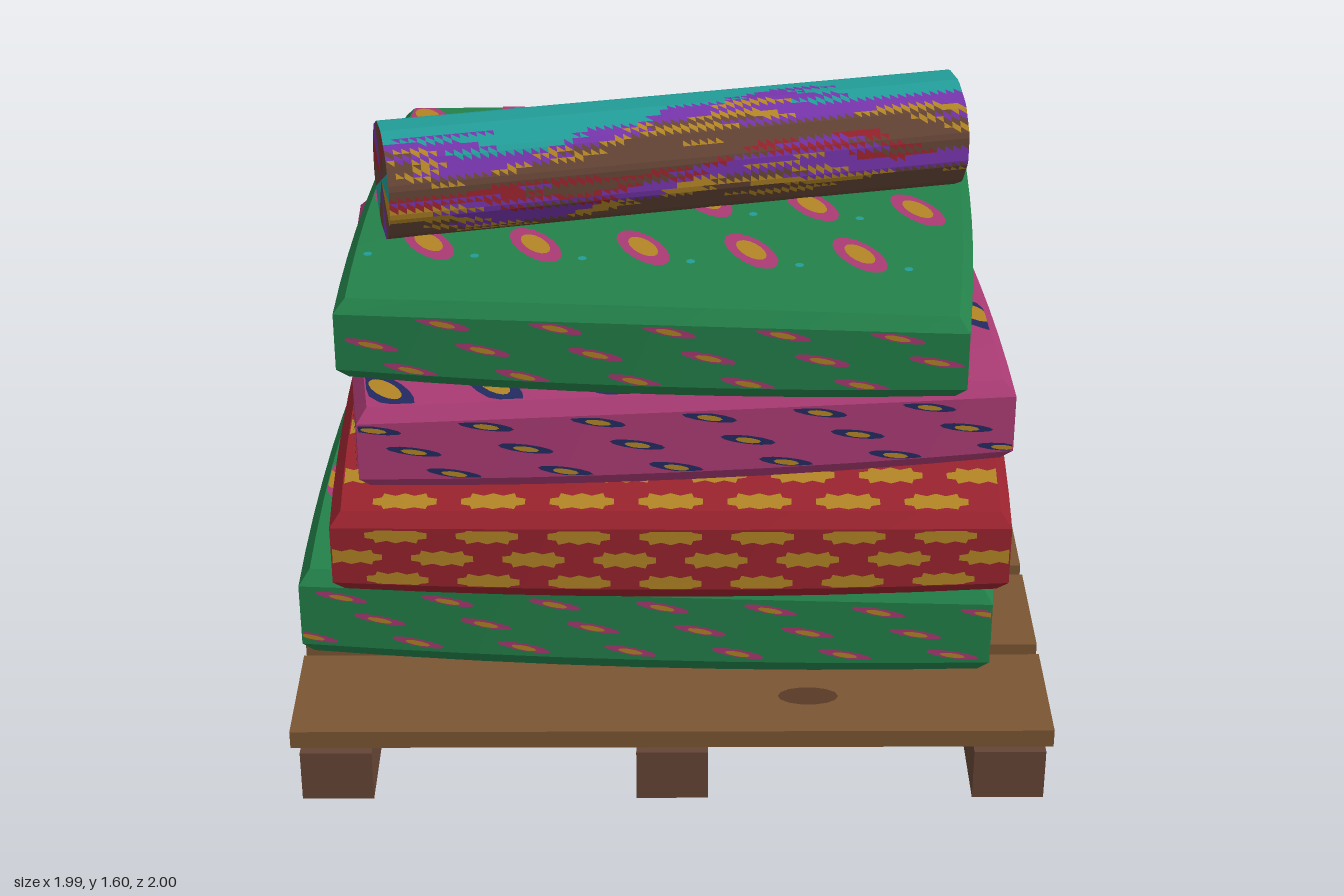
import * as THREE from 'three';
import { mergeGeometries, toCreasedNormals } from 'three/addons/utils/BufferGeometryUtils.js';

const COLORS = {
  plankWood: 0x7b5633, darkWood: 0x654536, knot: 0x5a3a26, green: 0x23814a, magenta: 0xaa3b74,
  red: 0x9a232e, gold: 0xb38525, navy: 0x232a60, teal: 0x229c98, purple: 0x7534aa,
};

// Outline helpers: closed counter-clockwise lists of [a, b] around a centre
function ellipse(ra, rb, tilt = 0, n = 16) {
  const c = Math.cos(tilt), s = Math.sin(tilt);
  return Array.from({ length: n }, (_, i) => {
    const t = (i / n) * Math.PI * 2, a = ra * Math.cos(t), b = rb * Math.sin(t);
    return [a * c - b * s, a * s + b * c];
  });
}
// Stepped bar, widest in the middle
function bar(l, h) {
  const q = [[l, h * 0.35], [l * 0.72, h * 0.5], [l * 0.66, h], [l * 0.3, h * 0.7], [0, h]];
  const top = [...q, ...q.slice(0, 4).reverse().map(([a, b]) => [-a, b])];
  return [...top, ...top.map(([a, b]) => [-a, -b])];
}

// Cushion faces: s and t span the face, n points outward
const V = (x, y, z) => new THREE.Vector3(x, y, z);
const SIDES = [
  [V(1, 0, 0), V(0, 1, 0), V(0, 0, 1)], [V(0, 0, -1), V(0, 1, 0), V(1, 0, 0)],
  [V(-1, 0, 0), V(0, 1, 0), V(0, 0, -1)], [V(0, 0, 1), V(0, 1, 0), V(-1, 0, 0)],
];
const CAPS = [[V(1, 0, 0), V(0, 0, -1), V(0, 1, 0)], [V(1, 0, 0), V(0, 0, 1), V(0, -1, 0)]];
const BEVEL = 0.7;

function cushion(mats, o) {
  const group = new THREE.Group();
  group.name = o.name;
  const size = V(o.w, o.h, o.d);

  // Puffed pillow rule: bevelled rim, bowed walls, domed top and bottom
  const warp = (p) => {
    const u = (2 * p.x) / o.w, v = (2 * p.z) / o.d, k = (2 * p.y) / o.h;
    const inset = (Math.max(0, Math.abs(k) - BEVEL) / (1 - BEVEL)) * 0.028;
    p.x += u * (0.02 * (1 - v * v) - inset);
    p.z += v * (0.02 * (1 - u * u) - inset);
    p.y += k * 0.025 * (1 - 0.5 * (u * u + v * v));
    return p;
  };

  const geo = new THREE.BoxGeometry(o.w, o.h, o.d, 8, 3, 8);
  const pos = geo.attributes.position, p = V(0, 0, 0);
  for (let i = 0; i < pos.count; i++) {
    p.fromBufferAttribute(pos, i);
    if (Math.abs(p.y) < o.h * 0.4) p.y = Math.sign(p.y) * BEVEL * o.h / 2;
    warp(p);
    pos.setXYZ(i, p.x, p.y, p.z);
  }
  const body = new THREE.Mesh(toCreasedNormals(geo, 0.4), mats[o.base]);
  body.name = o.name + 'Body';
  group.add(body);

  // Printed pattern: thin patches that follow the puffed surface
  const patches = {};
  const print = (color, [s, t, n], a, b, outline, lift) => {
    const half = (axis) => Math.abs(axis.dot(size)) / 2;
    const la = half(s) - 0.004, lb = half(t) * (t.y ? BEVEL : 1) - 0.004;
    if (Math.abs(a) > la || Math.abs(b) > lb) return;
    const at = ([da, db]) => warp(V(0, 0, 0).addScaledVector(n, half(n))
      .addScaledVector(s, THREE.MathUtils.clamp(a + da, -la, la))
      .addScaledVector(t, THREE.MathUtils.clamp(b + db, -lb, lb))).addScaledVector(n, lift);
    const c = at([0, 0]), ring = outline.map(at), pts = [];
    ring.forEach((q, i) => pts.push(c, q, ring[(i + 1) % ring.length]));
    const g = new THREE.BufferGeometry().setFromPoints(pts);
    g.computeVertexNormals();
    (patches[color] ??= []).push(g);
  };

  const bars = o.motif === 'bars', step = bars ? 0.235 : 0.285;
  const each = (row, shift, fn) => {
    for (let i = -4; i <= 4; i++) fn(i * step + shift, row);
  };
  // Flat faces
  for (const face of CAPS) {
    o.rows.forEach(([z, shift]) => each(-z, shift, (a, b) => {
      if (bars) return print('gold', face, a, b, bar(0.085, 0.04), 0.003);
      print(o.petal, face, a, b, ellipse(0.112, 0.052, -1.0), 0.003);
      print('gold', face, a, b, ellipse(0.062, 0.03, -1.0), 0.006);
      if (o.petal === 'magenta') print('teal', face, a + 0.13, b - 0.07, ellipse(0.012, 0.012, 0, 8), 0.003);
    }));
  }
  // Walls
  for (const face of SIDES) {
    [0.064, 0, -0.064].forEach((y, r) => each(y, bars ? (r % 2) * step / 2 : 0.05 + r * 0.1, (a, b) => {
      if (bars) return print('gold', face, a, b, bar(0.08, 0.022), 0.003);
      print(o.petal, face, a, b, ellipse(0.072, 0.011, -0.16, 12), 0.003);
      print('gold', face, a, b, ellipse(0.034, 0.007, -0.16, 10), 0.006);
    }));
  }
  for (const [color, list] of Object.entries(patches)) {
    const m = new THREE.Mesh(mergeGeometries(list), mats[color]);
    m.name = `${o.name}Pattern_${color}`;
    group.add(m);
  }
  group.position.set(o.x, o.y, o.z);
  group.rotation.y = o.turn;
  return group;
}

// Rolled cloth: twelve flat sides, streaked with wavy colour bands
function clothRoll(mats) {
  const R = 0.158, L = 1.555, N = 60, STEPS = 70, F = Math.PI / 6;
  let geo = new THREE.CylinderGeometry(R, R, L, N, STEPS);
  geo.rotateZ(Math.PI / 2);
  const pos = geo.attributes.position;
  for (let i = 0; i < pos.count; i++) {
    const y = pos.getY(i), z = pos.getZ(i);
    const a = Math.atan2(z, y) + Math.PI * 2 + F / 2;
    const k = Math.cos(F / 2) / Math.cos((a % F) - F / 2);
    pos.setXYZ(i, pos.getX(i), y * k, z * k);
  }
  geo = geo.toNonIndexed();
  geo.clearGroups();
  geo.computeVertexNormals();

  // Upper limit in degrees (0 is the top, positive toward the front) of each band
  const bands = [
    [-150, 'darkWood'], [-128, 'purple'], [-112, 'teal'], [-85, 'darkWood'], [-62, 'purple'], [-50, 'gold'],
    [28, 'teal'], [48, 'purple'], [56, 'gold'], [84, 'darkWood'], [92, 'red'], [112, 'purple'],
    [124, 'gold'], [999, 'darkWood'],
  ];
  const capColors = ['darkWood', 'teal', 'darkWood', 'red', 'purple', 'darkWood', 'red', 'darkWood', 'teal', 'gold', 'darkWood', 'purple'];
  const P = geo.attributes.position.array;
  const colorOf = (f) => {
    const avg = (k) => (P[f + k] + P[f + k + 3] + P[f + k + 6]) / 3;
    const x = avg(0), d = THREE.MathUtils.radToDeg(Math.atan2(avg(2), avg(1)));
    if (Math.abs(x) > L / 2 - 1e-4) return capColors[Math.floor((d + 180) / 30) % 12];
    const row = Math.round(d / 6);
    const jag = 9 * Math.sin(row * 2.4 + x * 3) + 16 * Math.sin(x * 4.2 + 0.6) - 10 * Math.cos(x * 9 + row * 0.5);
    const fan = 1 + 0.25 * x * x;
    return bands.find(([limit]) => d * fan + jag < limit)[1];
  };
  const byColor = {};
  for (let f = 0; f < P.length; f += 9) (byColor[colorOf(f)] ??= []).push(f / 3, f / 3 + 1, f / 3 + 2);
  const used = Object.keys(byColor);
  geo.setIndex(Object.values(byColor).flat());
  let start = 0;
  used.forEach((c, i) => {
    geo.addGroup(start, byColor[c].length, i);
    start += byColor[c].length;
  });
  const roll = new THREE.Mesh(geo, used.map((c) => mats[c]));
  roll.name = 'clothRoll';
  roll.position.set(0.003, 1.452, 0.112);
  roll.rotation.y = 0.221;
  return roll;
}

function pallet(mats) {
  const group = new THREE.Group();
  group.name = 'pallet';
  const add = (name, geo, mat, x, y, z) => {
    const m = new THREE.Mesh(geo, mats[mat]);
    m.name = name;
    m.position.set(x, y, z);
    group.add(m);
    return m;
  };
  for (const x of [-0.875, 0, 0.88]) add('runner', new THREE.BoxGeometry(0.187, 0.145, 2), 'darkWood', x, 0.0725, 0);
  [-0.8, -0.4, 0, 0.4, 0.8].forEach((z, i) => {
    add('plank', new THREE.BoxGeometry(1.99, 0.05, 0.352), 'plankWood', 0, 0.17, z);
    // Wood knots on both faces
    const x = i % 2 ? -0.45 : 0.36;
    for (const s of [1, -1]) {
      const knot = add('knot', new THREE.CircleGeometry(1, 14), 'knot', x, 0.17 + s * 0.027, z + 0.02);
      knot.scale.set(0.08, 0.04, 1);
      knot.rotation.x = -s * Math.PI / 2;
    }
  });
  return group;
}

export function createModel() {
  const mats = {};
  for (const [name, color] of Object.entries(COLORS)) {
    mats[name] = new THREE.MeshStandardMaterial({ color });
    mats[name].name = name;
  }
  const model = new THREE.Group();
  model.name = 'cushionStack';
  model.add(pallet(mats));

  const barRows = [-0.65, -0.52, -0.39, -0.26, -0.13, 0, 0.13, 0.26, 0.39, 0.52, 0.65].map((z, i) => [z, (i % 2) * 0.117]);
  [
    { name: 'bottomCushion', base: 'green', petal: 'magenta', w: 1.84, d: 1.42, h: 0.26, x: -0.037, y: 0.345, z: -0.008, turn: -0.052,
      rows: [[-0.62, 0.035], [-0.33, -0.07], [-0.04, 0.08], [0.25, -0.06], [0.54, 0.04]] },
    { name: 'redCushion', base: 'red', motif: 'bars', w: 1.75, d: 1.38, h: 0.235, x: 0, y: 0.635, z: 0.13, turn: -0.005, rows: barRows },
    { name: 'magentaCushion', base: 'magenta', petal: 'navy', w: 1.696, d: 1.315, h: 0.23, x: -0.01, y: 0.91, z: 0.035, turn: 0.083,
      rows: [[-0.58, 0.15], [-0.29, 0.05], [0, 0.12], [0.29, -0.04], [0.58, 0.06]] },
    { name: 'topCushion', base: 'green', petal: 'magenta', w: 1.6, d: 1.265, h: 0.225, x: -0.012, y: 1.18, z: 0.096, turn: -0.07,
      rows: [[-0.56, 0.11], [-0.27, 0.01], [0.03, 0.11], [0.32, -0.04]] },
  ].forEach((o) => model.add(cushion(mats, o)));

  model.add(clothRoll(mats));
  return model;
}
